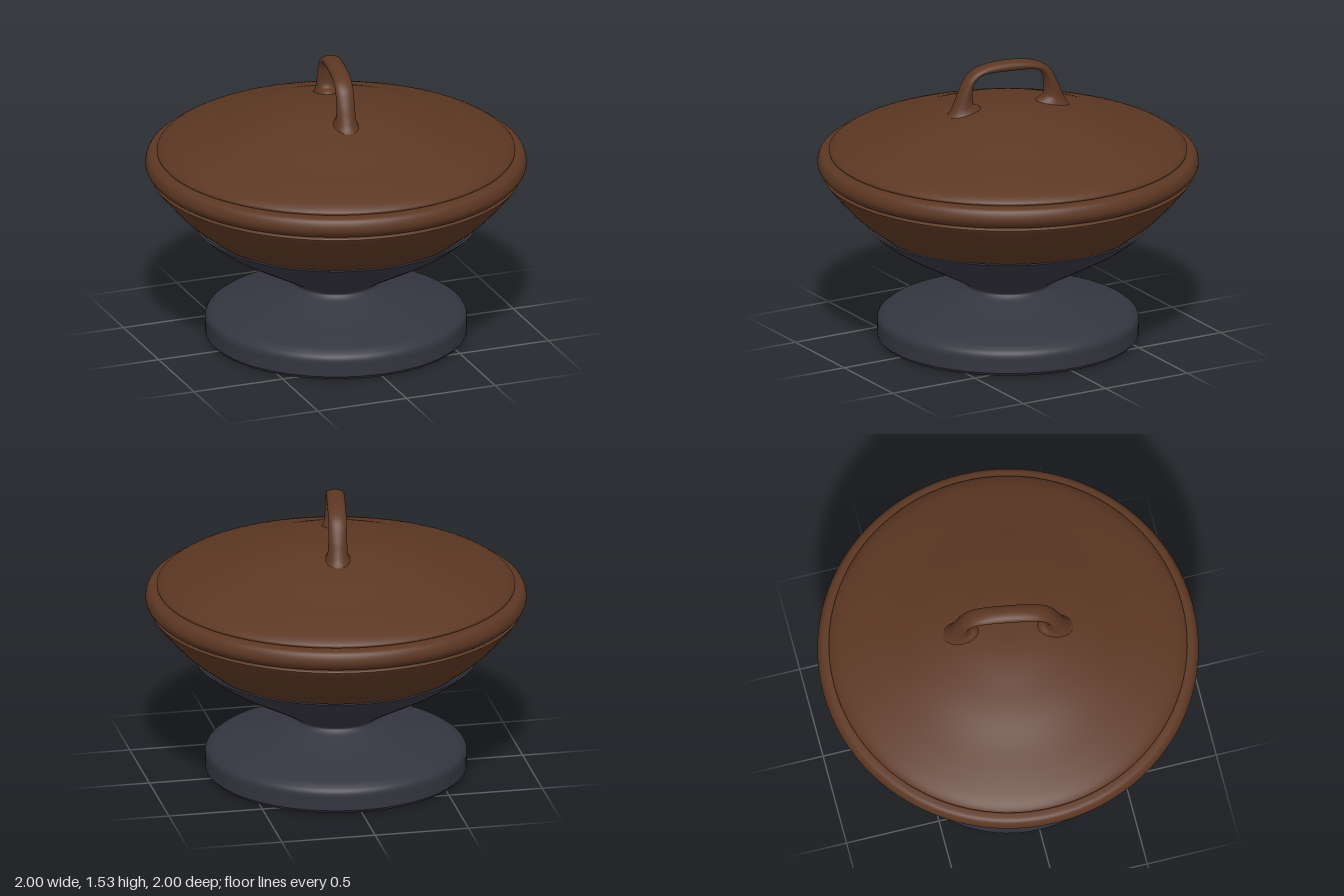
import * as THREE from 'three';

const brown = new THREE.MeshStandardMaterial({ color: 0x5c3723 });
brown.name = 'brown glaze';
const slate = new THREE.MeshStandardMaterial({ color: 0x353540 });
slate.name = 'dark slate';

// Turned part: each run of [radius, height], bottom to top, is smooth; runs meet in sharp edges
function turned(name, material, runs) {
  const group = new THREE.Group();
  group.name = name;
  runs.forEach((run, i) => {
    let points = run.map(([r, y]) => new THREE.Vector2(r, y));
    if (points.length > 2) {
      points = new THREE.SplineCurve(points).getPoints(points.length * 5);
      points.forEach((p) => { p.x = Math.max(0, p.x); });
    }
    const mesh = new THREE.Mesh(new THREE.LatheGeometry(points, 96), material);
    mesh.name = `${name}Surface${i + 1}`;
    group.add(mesh);
  });
  return group;
}

// Arched handle swept between an outer and an inner curve with an oval section
function createHandle() {
  // outer z, outer y, inner z, inner y, half width
  const half = [
    [0.40, 1.215, 0.12, 1.26, 0.085],
    [0.335, 1.268, 0.165, 1.303, 0.062],
    [0.305, 1.32, 0.198, 1.325, 0.052],
    [0.275, 1.39, 0.203, 1.39, 0.049],
    [0.225, 1.475, 0.186, 1.445, 0.048],
    [0.135, 1.522, 0.135, 1.474, 0.048],
    [0, 1.536, 0, 1.478, 0.048],
  ];
  const mirrored = half.slice(0, -1).reverse().map(([oz, oy, iz, iy, w]) => [-oz, oy, -iz, iy, w]);
  const rows = [...half, ...mirrored];
  const outer = new THREE.CatmullRomCurve3(rows.map((r) => new THREE.Vector3(r[4], r[1], r[0])), false, 'catmullrom', 0.5);
  const inner = new THREE.CatmullRomCurve3(rows.map((r) => new THREE.Vector3(r[4], r[3], r[2])), false, 'catmullrom', 0.5);
  const steps = 72, sides = 24, positions = [], index = [];
  for (let i = 0; i <= steps; i++) {
    const o = outer.getPoint(i / steps), n = inner.getPoint(i / steps);
    for (let j = 0; j < sides; j++) {
      const a = (j / sides) * Math.PI * 2, t = (1 + Math.cos(a)) / 2;
      positions.push(Math.sin(a) * o.x, n.y + (o.y - n.y) * t, n.z + (o.z - n.z) * t);
      if (i < steps) {
        const p = i * sides + j, q = i * sides + ((j + 1) % sides);
        index.push(p, q, p + sides, q, q + sides, p + sides);
      }
    }
  }
  const geometry = new THREE.BufferGeometry();
  geometry.setAttribute('position', new THREE.Float32BufferAttribute(positions, 3));
  geometry.setIndex(index);
  geometry.computeVertexNormals();
  const handle = new THREE.Mesh(geometry, brown);
  handle.name = 'lidHandle';
  handle.rotation.y = -0.17;
  return handle;
}

export function createModel() {
  const model = new THREE.Group();
  model.name = 'coveredDish';

  // Pedestal: flat underside, drum foot, narrow waist, flared cup and its lip
  model.add(turned('pedestal', slate, [
    [[0, 0.005], [0.3, 0.005]],
    [[0.3, 0.005], [0.67, 0.013]],
    [[0.67, 0.013], [0.685, 0.03]],
    [[0.685, 0.03], [0.686, 0.075], [0.685, 0.125], [0.66, 0.155], [0.6, 0.182], [0.4, 0.236],
      [0.28, 0.278], [0.236, 0.302], [0.232, 0.325], [0.3, 0.367], [0.45, 0.45], [0.6, 0.535], [0.69, 0.598], [0.74, 0.643]],
    [[0.74, 0.643], [0.73, 0.647]],
    [[0.73, 0.647], [0.66, 0.615]],
  ]));

  // Bowl: curved body, fine groove, rounded rim and ledge under the lid
  model.add(turned('bowl', brown, [
    [[0, 0.48], [0.4, 0.51], [0.6, 0.57], [0.71, 0.645], [0.83, 0.745], [0.92, 0.845], [0.965, 0.9], [0.968, 0.912], [0.955, 0.92]],
    [[0.955, 0.92], [0.975, 0.93], [0.995, 0.955], [1, 0.98], [0.992, 1.01], [0.975, 1.028], [0.945, 1.034]],
    [[0.945, 1.034], [0.9, 1.032]],
  ]));

  // Lid: shallow dome with a rounded edge
  model.add(turned('lid', brown, [
    [[0.9, 1.035], [0.938, 1.037]],
    [[0.938, 1.037], [0.938, 1.05], [0.91, 1.073], [0.86, 1.097], [0.76, 1.132], [0.62, 1.175],
      [0.46, 1.23], [0.33, 1.262], [0.2, 1.288], [0.1, 1.298], [0, 1.3]],
  ]));

  model.add(createHandle());
  return model;
}
